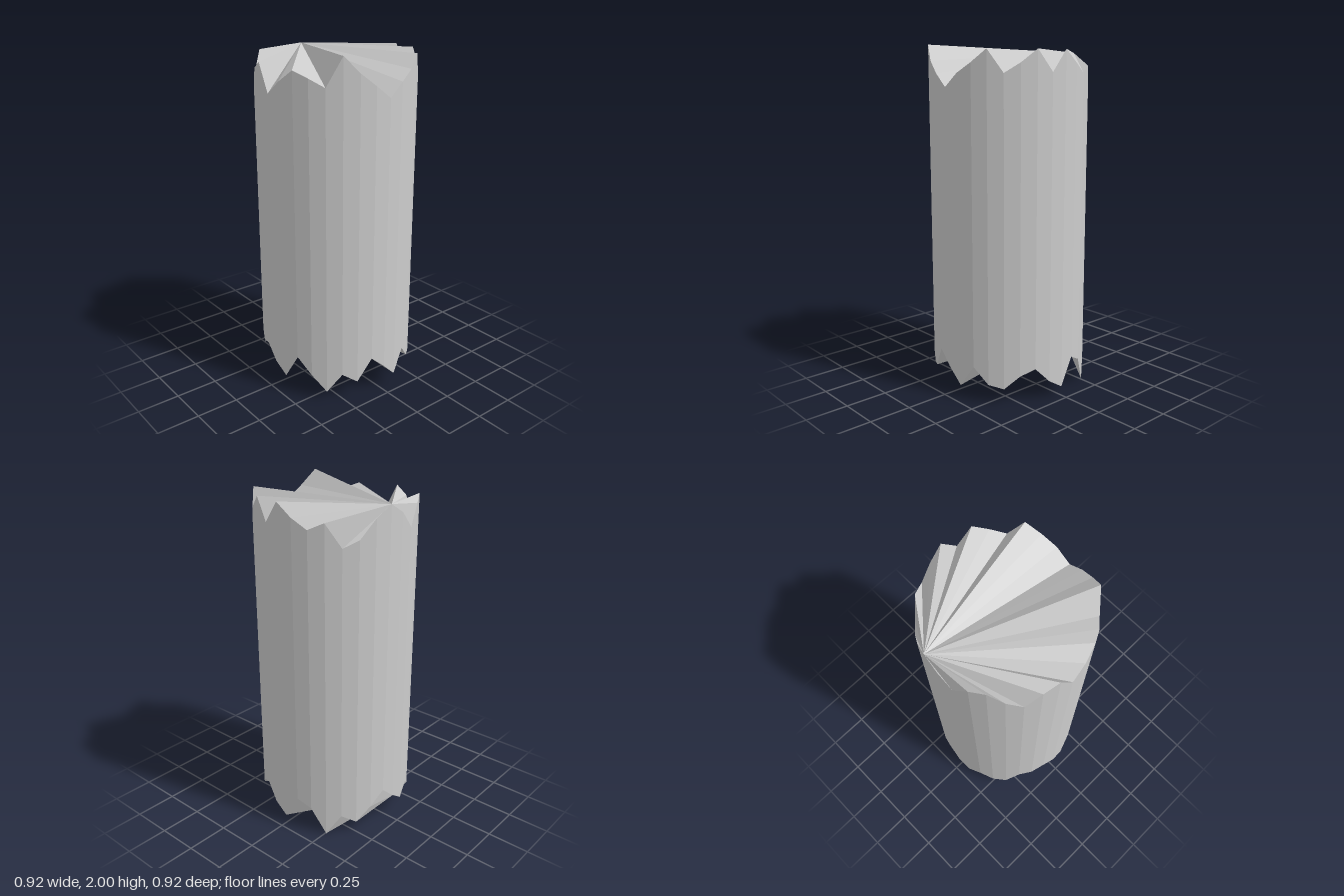
import * as THREE from 'three';

const SIDES = 32;
const RADIUS = 0.46;

// Rim heights, starting at the front (+z) and turning towards +x
const TOP = [
  1.77, 1.845, 1.9, 1.97, 1.845, 1.9, 1.97, 1.85,
  1.97, 1.9, 1.845, 1.885, 1.755, 1.795, 1.9, 1.96,
  1.905, 1.81, 1.92, 1.955, 1.85, 1.77, 1.89, 1.935,
  1.78, 1.855, 1.92, 1.885, 1.84, 2.0, 1.91, 1.84,
];
const BOTTOM = [
  0.165, 0.075, 0.205, 0.11, 0.09, 0.165, 0.2, 0.11,
  0.055, 0.21, 0.165, 0, 0.125, 0.075, 0.16, 0.245,
  0.165, 0.1, 0.16, 0.095, 0.09, 0.24, 0.21, 0.235,
  0.155, 0.095, 0.25, 0.15, 0.05, 0.165, 0.11, 0.245,
];

// Point on a jagged rim
function rimPoint(heights, i) {
  const k = i % SIDES;
  const a = (k / SIDES) * Math.PI * 2;
  return new THREE.Vector3(RADIUS * Math.sin(a), heights[k], RADIUS * Math.cos(a));
}

// Flat-shaded mesh from a list of triangle corners
function facetMesh(name, points) {
  const geometry = new THREE.BufferGeometry().setFromPoints(points);
  geometry.computeVertexNormals();
  const material = new THREE.MeshStandardMaterial({ color: 0xcccccc, flatShading: true });
  const mesh = new THREE.Mesh(geometry, material);
  mesh.name = name;
  return mesh;
}

// Splintered end: a fan of triangles spreading from one rim point
function brokenEnd(name, heights, hub, facesUp) {
  const points = [];
  for (let i = 1; i < SIDES - 1; i++) {
    const a = rimPoint(heights, hub + i);
    const b = rimPoint(heights, hub + i + 1);
    points.push(rimPoint(heights, hub), ...(facesUp ? [a, b] : [b, a]));
  }
  return facetMesh(name, points);
}

// Faceted side wall between the two rims
function sideWall() {
  const points = [];
  for (let i = 0; i < SIDES; i++) {
    const a = rimPoint(BOTTOM, i);
    const b = rimPoint(BOTTOM, i + 1);
    const c = rimPoint(TOP, i + 1);
    const d = rimPoint(TOP, i);
    points.push(a, b, c, a, c, d);
  }
  return facetMesh('columnWall', points);
}

export function createModel() {
  const group = new THREE.Group();
  group.name = 'brokenColumnSegment';
  group.add(
    sideWall(),
    brokenEnd('brokenTop', TOP, 15, true),
    brokenEnd('brokenBottom', BOTTOM, 16, false),
  );
  return group;
}
